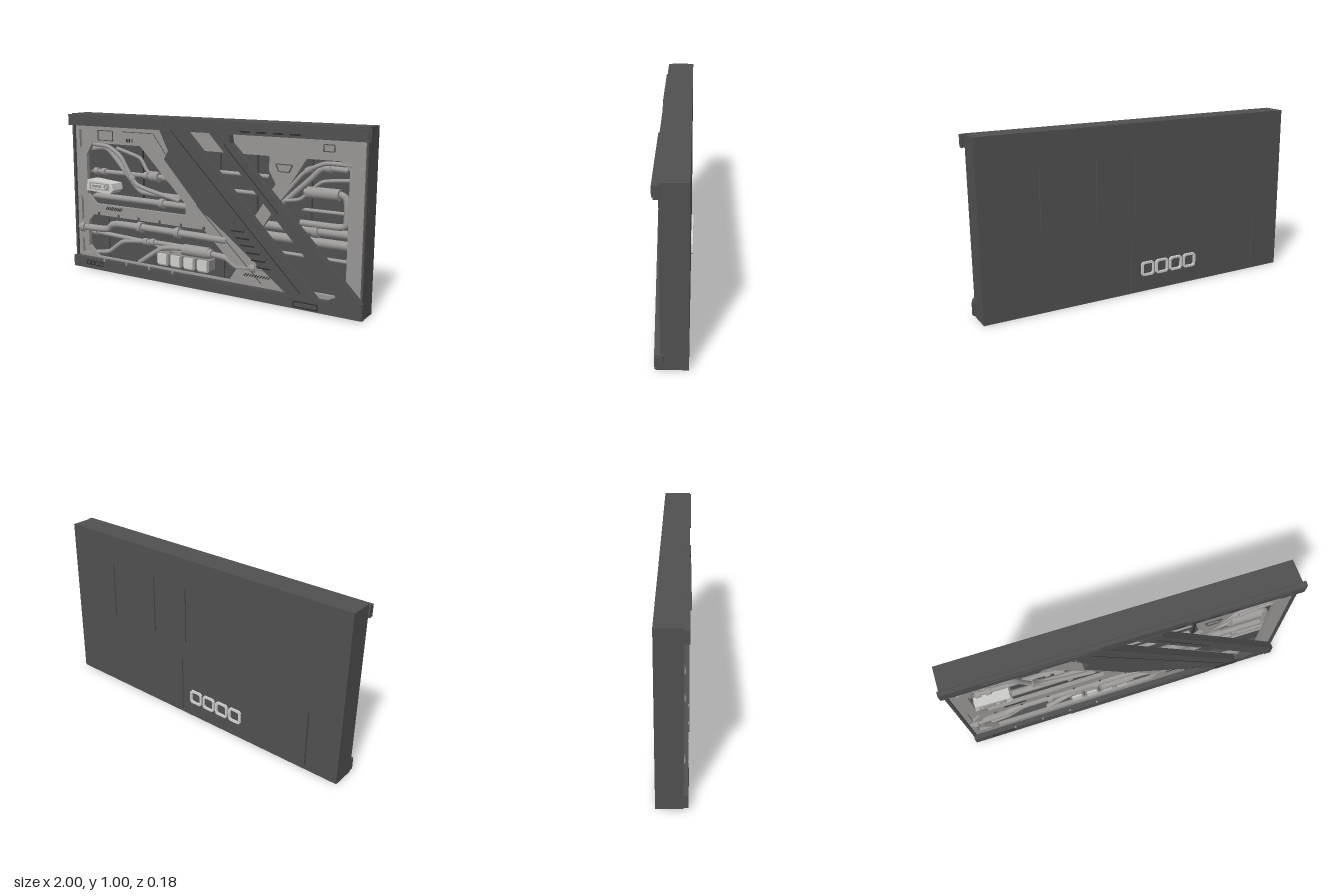
import * as THREE from 'three';

const mat = (name, color) => Object.assign(new THREE.MeshStandardMaterial({ color }), { name });

export function createModel() {
  const root = new THREE.Group();
  root.name = 'wallPanel';
  const dark = mat('darkSteel', 0x505050);
  const panelGrey = mat('panelGrey', 0x989694);
  const pipeGrey = mat('pipeGrey', 0x9c9a99);
  const light = mat('lightGrey', 0xcfcfcd);
  const black = mat('slotBlack', 0x2c2c2c);

  const add = (name, geo, m) => {
    const mesh = new THREE.Mesh(geo, m);
    mesh.name = name;
    root.add(mesh);
    return mesh;
  };
  const vecs = (pts) => pts.map(([x, y]) => new THREE.Vector2(x, y));
  const rect = (x0, y0, x1, y1) => [[x0, y0], [x1, y0], [x1, y1], [x0, y1]];
  const octagon = (x, y, r, c) => [0, 1, 2, 3].flatMap((k) => {
    const a = k * Math.PI / 2, turn = (u, v) => [x + u * Math.cos(a) - v * Math.sin(a), y + u * Math.sin(a) + v * Math.cos(a)];
    return [turn(r, c - r), turn(r, r - c)];
  });
  // flat plate with an outline, optional holes, from z0 to z1
  const plate = (name, pts, z0, z1, m, holes = []) => {
    const s = new THREE.Shape(vecs(pts));
    holes.forEach((h) => s.holes.push(new THREE.Path(vecs(h))));
    return add(name, new THREE.ExtrudeGeometry(s, { depth: z1 - z0, bevelEnabled: false }).translate(0, 0, z0), m);
  };
  // thin strip between two points in the xy plane
  const strip = (name, [ax, ay], [bx, by], w, z, m) => {
    const mesh = add(name, new THREE.BoxGeometry(Math.hypot(bx - ax, by - ay), w, 0.006), m);
    mesh.position.set((ax + bx) / 2, (ay + by) / 2, z);
    mesh.rotation.z = Math.atan2(by - ay, bx - ax);
  };
  const outline = (name, pts, m, z) =>
    pts.forEach((p, i) => strip(name, p, pts[(i + 1) % pts.length], 0.005, z, m));

  // housing: side walls and a back wall with narrow slits
  plate('housingWalls', rect(-0.99, 0, 0.98, 1), -0.08, 0.06, dark, [rect(-0.975, 0.015, 0.968, 0.985)]);
  const slit = (x, y) => rect(x - 0.004, y, x + 0.004, y + 0.35);
  plate('backWall', rect(-0.98, 0.01, 0.975, 0.99), -0.08, -0.04, dark,
    [slit(0.64, 0.475), slit(0.306, 0.475), slit(0.063, 0.475), slit(0.09, 0.016), slit(-0.79, 0.016)]);
  [-0.5, -0.1, 0.45].forEach((x) => strip('wallSeam', [x, 0.46], [x, 0.83], 0.008, -0.038, black));

  // front panel with its openings and corner pockets
  const upperLeft = [[-0.89, 0.74], [-0.84, 0.82], [-0.46, 0.82], [-0.13, 0.5], [-0.13, 0.43], [-0.83, 0.43], [-0.89, 0.49]];
  const lowerLeft = [[-0.89, 0.31], [-0.84, 0.36], [0, 0.36], [0.22, 0.16], [0.17, 0.085], [-0.82, 0.085], [-0.89, 0.15]];
  const middle = [[-0.08, 0.82], [0.42, 0.82], [0.42, 0.74], [0.46, 0.67], [0.31, 0.44], [0.26, 0.48]];
  const right = [[0.64, 0.82], [0.83, 0.82], [0.88, 0.77], [0.88, 0.15], [0.8, 0.1], [0.66, 0.1], [0.37, 0.4]];
  const pockets = [
    [[-0.945, 0.9], [-0.82, 0.9], [-0.945, 0.78]],
    [[-0.945, 0.48], [-0.945, 0.31], [-0.885, 0.39]],
    [[-0.945, 0.1], [-0.86, 0.1], [-0.945, 0.2]],
    [[0.87, 0.89], [0.94, 0.89], [0.94, 0.79]],
  ];
  plate('frontPanel', rect(-0.975, 0.02, 0.968, 0.98), 0.02, 0.045, panelGrey, [upperLeft, lowerLeft, middle, right, ...pockets]);
  pockets.forEach((p) => plate('cornerPocket', p, 0.02, 0.027, panelGrey));

  // small details on the front panel
  outline('panelHatch', rect(-0.79, 0.84, -0.67, 0.9), dark, 0.046);
  outline('panelHatch', rect(0.735, 0.865, 0.795, 0.9), dark, 0.046);
  outline('panelHatch', [[0.46, 0.78], [0.56, 0.78], [0.54, 0.74], [0.48, 0.74]], dark, 0.046);
  for (let i = 0; i < 10; i++) {
    const u = -0.74 + i * 0.013, v = 0.27 + i * 0.017;
    strip('ventSlot', [u, 0.4], [u + 0.015, 0.42], 0.005, 0.044, black);
    strip('ventSlot', [v, 0.13], [v + 0.015, 0.145], 0.006, 0.044, black);
  }
  for (let i = 0; i < 6; i++) {
    const x = -0.8 + i * 0.16;
    strip('panelClip', [x, 0.36], [x, 0.378], 0.012, 0.046, dark);
  }
  for (let i = 0; i < 3; i++) {
    const x = -0.56 + i * 0.02;
    strip('panelTick', [x, 0.838], [x, 0.858], 0.008, 0.044, black);
  }
  strip('bandLine', [-0.6, 0.9], [-0.36, 0.9], 0.004, 0.044, dark);
  strip('bandLine', [-0.36, 0.9], [-0.06, 0.52], 0.004, 0.044, dark);
  strip('bandLine', [-0.05, 0.5], [0.38, 0.1], 0.004, 0.044, dark);

  // top and bottom rails
  plate('topRail', rect(-1, 0.928, 1, 0.995), 0.055, 0.084, dark);
  plate('topRailLeftPlate', [[-0.78, 0.985], [-0.22, 0.985], [-0.26, 0.955], [-0.7, 0.955]], 0.084, 0.091, dark);
  plate('topRailRightPlate', [[0.33, 0.99], [0.99, 0.99], [0.99, 0.935], [0.86, 0.935], [0.82, 0.965], [0.38, 0.965]], 0.084, 0.091, dark);
  plate('bottomRail', rect(-0.99, 0.008, 0.99, 0.08), 0.055, 0.084, dark);
  plate('bottomRailPlate', [[-0.44, 0.072], [-0.37, 0.018], [0.55, 0.018], [0.6, 0.072]], 0.084, 0.09, dark);
  outline('railHatch', rect(0.6, 0.02, 0.74, 0.05), black, 0.085);
  for (let i = 0; i < 4; i++) {
    const x = -0.88 + i * 0.037, v = 0.26 + i * 0.1, c = -0.73 + i * 0.177;
    outline('railSlot', rect(x, 0.035, x + 0.026, 0.06), black, 0.082);
    strip('railVent', [v, 0.945], [v + 0.06, 0.945], 0.009, 0.082, black);
    strip('railClip', [c, 0.07], [c, 0.09], 0.012, 0.084, panelGrey);
  }

  // diagonal beams
  plate('mainBeam', [[-0.31, 0.985], [-0.22, 0.81], [-0.25, 0.76], [0.02, 0.47], [0.06, 0.45], [0.58, 0.07],
    [0.74, 0.07], [-0.1, 0.93], [-0.14, 0.985]], 0.045, 0.089, dark);
  plate('secondBeam', [[0.06, 0.93], [0.19, 0.93], [0.2, 0.88], [0.985, 0.09], [0.985, 0.01], [0.95, 0.01],
    [0.88, 0.07], [0.77, 0.07], [0.85, 0.11]], 0.045, 0.089, dark);
  strip('beamGroove', [-0.2, 0.93], [0.64, 0.1], 0.004, 0.087, black);
  strip('beamGroove', [0.16, 0.87], [0.5, 0.52], 0.004, 0.087, black);
  for (let i = 0; i < 6; i++) {
    const x = 0.2 + i * 0.034, y = 0.41 - i * 0.038;
    plate('beamFin', [[x, y - 0.012], [x + 0.09, y - 0.012], [x + 0.11, y + 0.01], [x + 0.01, y + 0.01]], 0.088, 0.0925, dark);
    strip('beamFinSlot', [x + 0.005, y - 0.018], [x + 0.09, y - 0.018], 0.008, 0.087, black);
  }

  // pipe of radius r at depth z, with collars at fractions of its length
  const pipe = (r, z, pts, collars = []) => {
    const curve = new THREE.CatmullRomCurve3(pts.map(([x, y]) => new THREE.Vector3(x, y, z)), false, 'catmullrom', 0.3);
    add('pipe', new THREE.TubeGeometry(curve, pts.length * 7, r, 12), pipeGrey);
    collars.forEach((t) => collar(r * 1.5, 0.03, curve.getPointAt(t), curve.getTangentAt(t)));
  };
  const collar = (r, length, at, along = new THREE.Vector3(1, 0, 0)) => {
    const mesh = add('pipeCollar', new THREE.CylinderGeometry(r, r, length, 16), pipeGrey);
    mesh.position.copy(at);
    mesh.quaternion.setFromUnitVectors(new THREE.Vector3(0, 1, 0), along);
  };
  const straight = (r, x0, x1, y, collars) => pipe(r, 0, [[x0, y], [x1, y]], collars);

  // left pipes
  pipe(0.016, 0.005, [[-0.89, 0.775], [-0.74, 0.78], [-0.52, 0.56], [-0.45, 0.53], [-0.14, 0.525]]);
  pipe(0.013, 0.03, [[-0.84, 0.81], [-0.72, 0.8], [-0.62, 0.74], [-0.5, 0.58], [-0.18, 0.51]], [0.5]);
  pipe(0.011, -0.005, [[-0.68, 0.79], [-0.5, 0.74], [-0.44, 0.66], [-0.3, 0.62]]);
  straight(0.015, -0.9, -0.05, 0.635, [0.08, 0.15, 0.54, 0.7]);
  straight(0.02, -0.9, -0.08, 0.475, [0.7]);
  pipe(0.022, 0.035, [[-0.97, 0.265], [-0.74, 0.272], [-0.65, 0.315], [0.15, 0.315]], [0.03, 0.45, 0.7]);
  pipe(0.014, 0, [[-0.9, 0.235], [-0.4, 0.215], [-0.34, 0.19], [-0.15, 0.19]], [0.04, 0.6]);
  pipe(0.015, 0.005, [[-0.86, 0.1], [-0.75, 0.12], [-0.63, 0.2], [-0.4, 0.225], [-0.1, 0.225]], [0.55, 0.62]);
  pipe(0.016, 0.015, [[-0.5, 0.085], [-0.32, 0.2], [-0.15, 0.22]]);
  pipe(0.018, 0.03, [[0, 0.22], [0.14, 0.21], [0.22, 0.17], [0.4, 0.18], [0.52, 0.09]], [0.06, 0.6]);
  // middle and right pipes
  straight(0.024, 0.2, 0.9, 0.43, [0.7]);
  straight(0.026, 0.2, 0.9, 0.37, [0.6]);
  straight(0.01, 0.3, 0.9, 0.285);
  straight(0.012, -0.1, 0.4, 0.7);
  straight(0.012, 0.05, 0.4, 0.6);
  straight(0.01, 0.6, 0.88, 0.54);
  pipe(0.016, 0.01, [[0.86, 0.77], [0.72, 0.77], [0.64, 0.7], [0.42, 0.5]], [0.2]);
  pipe(0.012, 0.035, [[0.89, 0.8], [0.74, 0.8], [0.62, 0.74], [0.48, 0.58]], [0.5]);
  pipe(0.01, 0.02, [[0.88, 0.72], [0.72, 0.7], [0.6, 0.6], [0.5, 0.58]]);
  pipe(0.018, 0.015, [[0.62, 0.64], [0.83, 0.64], [0.86, 0.6], [0.86, 0.49], [0.82, 0.47], [0.6, 0.47]], [0.05]);
  // larger canisters in line with the pipes
  collar(0.034, 0.18, new THREE.Vector3(-0.065, 0.218, 0.025));
  collar(0.032, 0.18, new THREE.Vector3(0.73, 0.64, 0.02));
  collar(0.032, 0.06, new THREE.Vector3(-0.38, 0.635, 0));

  // control module
  plate('controlModule', [[-0.89, 0.515], [-0.7, 0.505], [-0.67, 0.53], [-0.68, 0.57], [-0.88, 0.585]], -0.04, 0.055, light);
  outline('moduleFrame', rect(-0.86, 0.527, -0.71, 0.565), panelGrey, 0.056);
  add('moduleDial', new THREE.TorusGeometry(0.012, 0.004, 8, 20), panelGrey).position.set(-0.73, 0.546, 0.056);
  strip('moduleBar', [-0.84, 0.546], [-0.77, 0.546], 0.015, 0.056, panelGrey);

  // four square cells, whose rims come out through the back wall
  for (let i = 0; i < 4; i++) {
    const x = -0.31 + i * 0.097, rim = octagon(x, 0.14, 0.043, 0.012), bore = octagon(x, 0.14, 0.031, 0.008);
    plate('cellFrame', rim, -0.05, 0.03, panelGrey, [bore]);
    plate('cellBackRim', rim, -0.092, -0.05, light, [bore]);
    plate('cellFace', octagon(x, 0.14, 0.032, 0.004), -0.03, 0.04, light);
  }
  return root;
}
